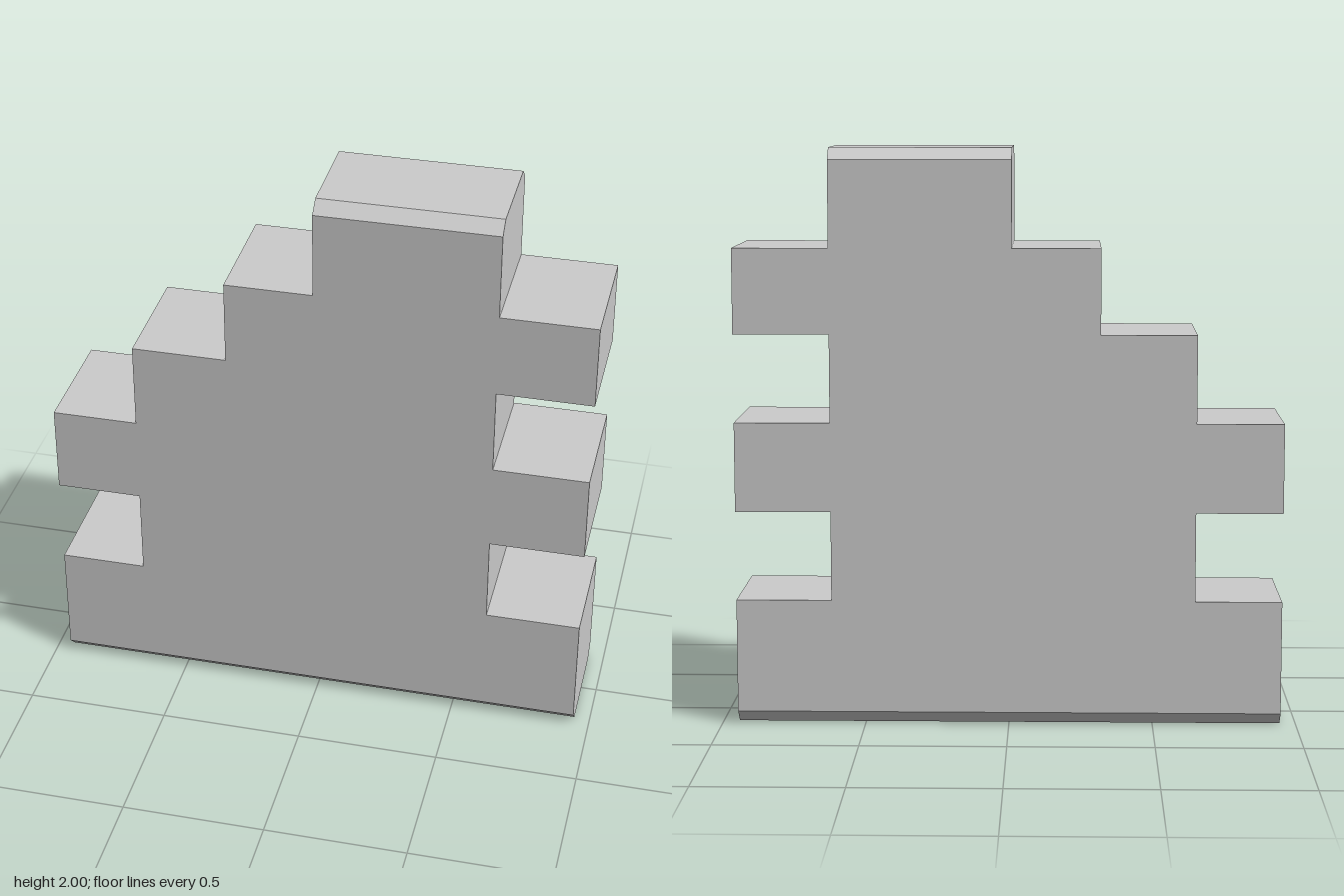
import * as THREE from 'three';

const HALF = 0.215;      // half thickness of the slab
const INNER = 0.17;      // half thickness at the chamfered top and bottom
const LOW = 0.045, HIGH = 1.96; // heights where the chamfers begin

const polygon = (points) => new THREE.Shape(points.map(([x, y]) => new THREE.Vector2(x, y)));
const band = (x0, x1, y0, y1) => polygon([[x0, y0], [x1, y0], [x1, y1], [x0, y1]]);

// Slab extruded front to back, with its top and bottom rims pulled in
function slabGeometry() {
  const body = polygon([
    [-0.945, LOW], [0.945, LOW],
    // toothed side
    [0.945, 0.44], [0.615, 0.44], [0.615, 0.75], [0.945, 0.75],
    [0.945, 1.06], [0.615, 1.06], [0.615, 1.365], [0.945, 1.365],
    [0.945, 1.66], [0.615, 1.66], [0.615, HIGH],
    // stepped side
    [-0.01, HIGH], [-0.01, 1.66], [-0.315, 1.66], [-0.315, 1.365],
    [-0.645, 1.365], [-0.645, 1.06], [-0.945, 1.06], [-0.945, 0.75],
    [-0.645, 0.75], [-0.645, 0.44], [-0.945, 0.44],
  ]);
  const base = band(-0.945, 0.945, 0, LOW);
  const crest = band(-0.01, 0.615, HIGH, 2);
  const source = new THREE.ExtrudeGeometry([base, body, crest], { depth: 2 * HALF, bevelEnabled: false });
  source.translate(0, 0, -HALF);

  const p = source.attributes.position;
  const near = (a, b) => Math.abs(a - b) < 1e-5;
  const kept = [];
  for (let i = 0; i < p.count; i += 3) {
    const corners = [i, i + 1, i + 2];
    // skip the hidden faces where the bands meet
    if ([LOW, HIGH].some((h) => corners.every((k) => near(p.getY(k), h)))) continue;
    for (const k of corners) {
      const y = p.getY(k), rim = near(y, 0) || near(y, 2);
      kept.push(p.getX(k), y, Math.sign(p.getZ(k)) * (rim ? INNER : HALF));
    }
  }
  const geometry = new THREE.BufferGeometry();
  geometry.setAttribute('position', new THREE.Float32BufferAttribute(kept, 3));
  geometry.computeVertexNormals();
  return geometry;
}

export function createModel() {
  const group = new THREE.Group();
  group.name = 'steppedBlock';
  const material = new THREE.MeshStandardMaterial({ color: 0xcccccc, flatShading: true });
  const slab = new THREE.Mesh(slabGeometry(), material);
  slab.name = 'steppedSlab';
  group.add(slab);
  return group;
}
